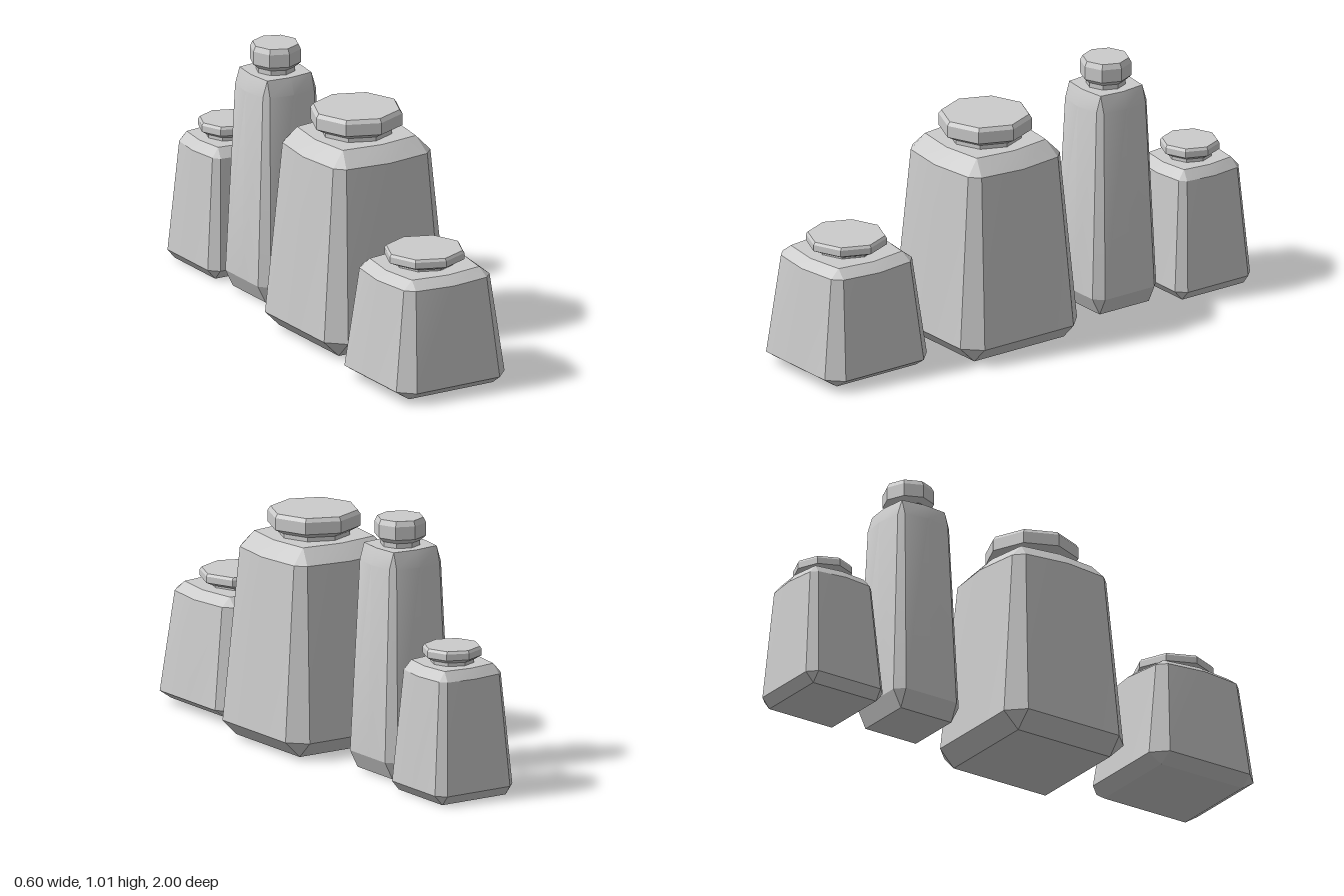
import * as THREE from 'three';
import { toCreasedNormals } from 'three/addons/utils/BufferGeometryUtils.js';

const material = new THREE.MeshStandardMaterial({ color: 0xcccccc });
const flatMaterial = new THREE.MeshStandardMaterial({ color: 0xcccccc, flatShading: true });

// One level of a square body: half width, end of each straight side, bulge at mid side
function ring(y, half, corner, bulge) {
  const points = [];
  for (let side = 0; side < 4; side++) {
    for (const [px, pz] of [[-corner, half], [0, half + bulge], [corner, half]]) {
      let x = px, z = pz;
      for (let k = 0; k < side; k++) [x, z] = [z, -x];
      points.push(new THREE.Vector3(x, y, z));
    }
  }
  return points;
}

// Skin the levels and close both ends
function loft(rings) {
  const positions = [];
  const tri = (a, b, c) => {
    const area = b.clone().sub(a).cross(c.clone().sub(a)).length();
    if (area > 1e-7) for (const p of [a, b, c]) positions.push(p.x, p.y, p.z);
  };
  const n = rings[0].length;
  const bottom = rings[0], top = rings[rings.length - 1];
  const bottomCentre = new THREE.Vector3(0, bottom[0].y, 0);
  const topCentre = new THREE.Vector3(0, top[0].y, 0);
  for (let i = 0; i < n; i++) {
    const j = (i + 1) % n;
    for (let k = 0; k < rings.length - 1; k++) {
      const lo = rings[k], hi = rings[k + 1];
      tri(lo[i], lo[j], hi[j]);
      tri(lo[i], hi[j], hi[i]);
    }
    tri(bottomCentre, bottom[j], bottom[i]);
    tri(topCentre, top[i], top[j]);
  }
  const geometry = new THREE.BufferGeometry();
  geometry.setAttribute('position', new THREE.Float32BufferAttribute(positions, 3));
  return toCreasedNormals(geometry, 0.35);
}

// Eight-sided turned part from [radius, y] pairs
function turned(name, profile) {
  const points = profile.map(([r, y]) => new THREE.Vector2(r, y));
  const mesh = new THREE.Mesh(new THREE.LatheGeometry(points, 8), flatMaterial);
  mesh.name = name;
  return mesh;
}

function createJar({ name, x, z, base, foot, shoulder, top, neck, lid }) {
  const jar = new THREE.Group();
  jar.name = name;
  jar.position.set(x, 0, z);

  // Tapered body: square base, chamfered corners, bulged shoulder
  const [topY, topHalf, topBulge] = top;
  const body = new THREE.Mesh(loft([
    ring(base[0], base[1], base[1], 0),
    ring(foot[0], foot[1], foot[2], 0),
    ring(...shoulder),
    ring(topY, topHalf, topHalf, topBulge),
  ]), material);
  body.name = 'body';
  jar.add(body);

  // Short neck and bevelled lid
  const lidBottom = lid[0][1], lidTop = lid[lid.length - 1][1];
  jar.add(turned('neck', [[neck, topY - 0.005], [neck, lidBottom + 0.005]]));
  jar.add(turned('lid', [[0, lidBottom], ...lid, [0, lidTop]]));
  return jar;
}

// base: y, half; foot: y, half, corner; shoulder: y, half, corner, bulge; top: y, half, bulge
const jars = [
  {
    name: 'shortJar', x: -0.055, z: 0.755,
    base: [0.015, 0.19], foot: [0.052, 0.245, 0.187],
    shoulder: [0.447, 0.194, 0.16, 0.021], top: [0.48, 0.152, 0.022],
    neck: 0.115, lid: [[0.125, 0.49], [0.157, 0.505], [0.157, 0.53], [0.15, 0.54]],
  },
  {
    name: 'largeJar', x: 0.02, z: 0.145,
    base: [0.01, 0.215], foot: [0.075, 0.28, 0.213],
    shoulder: [0.76, 0.22, 0.183, 0.023], top: [0.82, 0.165, 0.022],
    neck: 0.14, lid: [[0.145, 0.838], [0.181, 0.858], [0.181, 0.905], [0.17, 0.92]],
  },
  {
    name: 'tallJar', x: 0.018, z: -0.435,
    base: [0.01, 0.118], foot: [0.08, 0.153, 0.118],
    shoulder: [0.835, 0.12, 0.1, 0.015], top: [0.9, 0.1, 0.012],
    neck: 0.077, lid: [[0.08, 0.92], [0.1, 0.938], [0.1, 0.99], [0.09, 1.01]],
  },
  {
    name: 'smallJar', x: 0.042, z: -0.82,
    base: [0.003, 0.147], foot: [0.042, 0.18, 0.145],
    shoulder: [0.483, 0.143, 0.12, 0.015], top: [0.52, 0.113, 0.015],
    neck: 0.085, lid: [[0.09, 0.535], [0.115, 0.55], [0.115, 0.575], [0.108, 0.585]],
  },
];

export function createModel() {
  const model = new THREE.Group();
  model.name = 'jarSet';
  for (const spec of jars) model.add(createJar(spec));
  return model;
}
